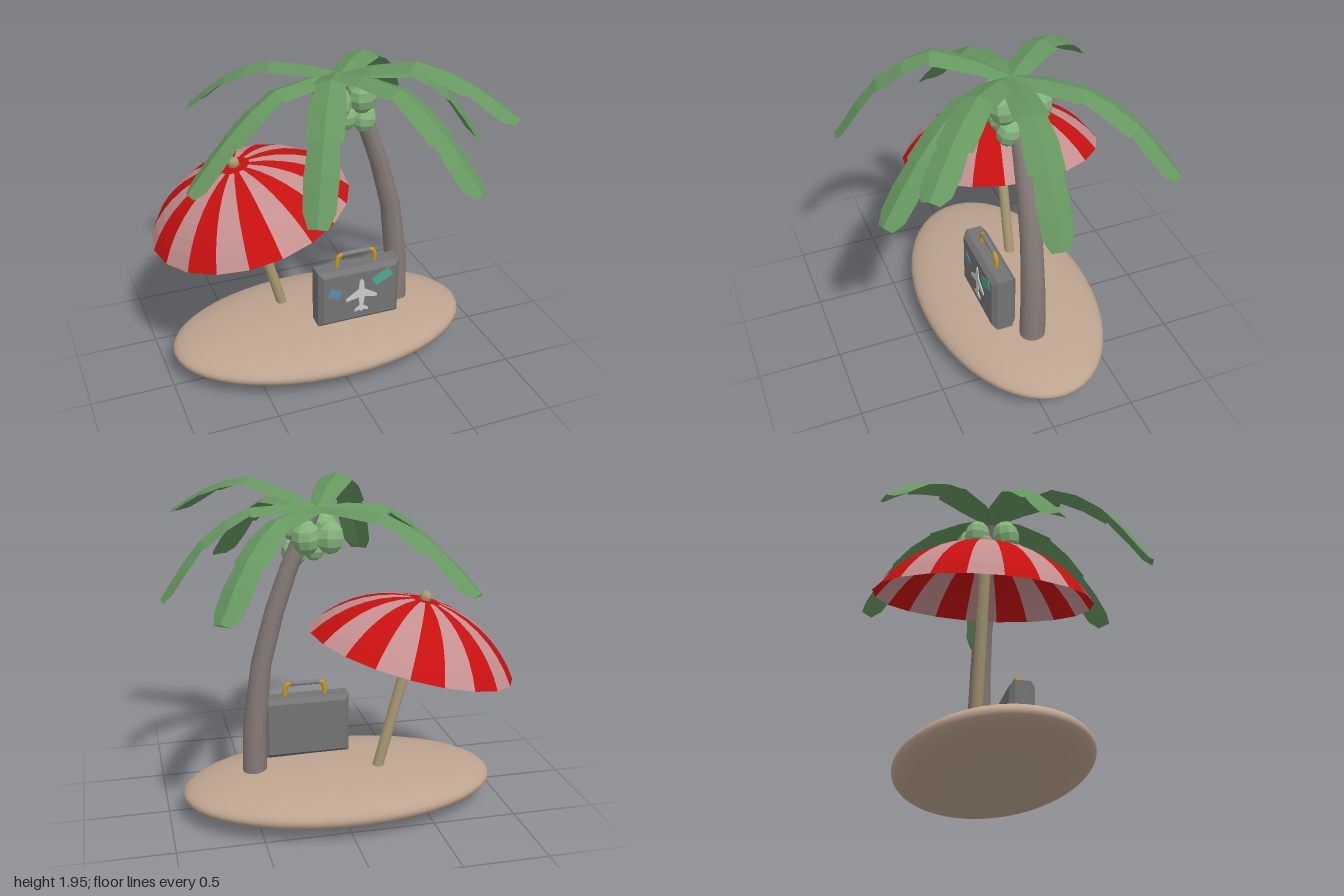
import * as THREE from 'three';

const mat = (color, extra = {}) => new THREE.MeshStandardMaterial({ color, ...extra });
const V = (x, y, z) => new THREE.Vector3(x, y, z);

function add(parent, name, geometry, material, x = 0, y = 0, z = 0) {
  const mesh = new THREE.Mesh(geometry, material);
  mesh.name = name;
  mesh.position.set(x, y, z);
  parent.add(mesh);
  return mesh;
}

function addGroup(parent, name) {
  const g = new THREE.Group();
  g.name = name;
  parent.add(g);
  return g;
}

// Striped canopy, pole and knob, leaning towards -x
function buildUmbrella(root) {
  const g = addGroup(root, 'umbrella');
  g.position.set(-0.415, 0.985, -0.225);
  g.rotation.z = 0.258;
  const red = mat(0xc81010, { flatShading: true, side: THREE.DoubleSide });
  const pink = mat(0xc49090, { flatShading: true, side: THREE.DoubleSide });
  const wood = mat(0xa89a74);
  const R = 0.74, rimAngle = 0.966, capAngle = 0.12, n = 20;
  const arc = (a) => new THREE.Vector2(R * Math.sin(a), R * Math.cos(a) - R * Math.cos(rimAngle));
  const profile = [];
  for (let i = 0; i <= 7; i++) profile.push(arc(rimAngle + (capAngle - rimAngle) * i / 7));
  const step = Math.PI * 2 / n;
  for (let k = 0; k < n; k++) {
    add(g, 'canopyStripe', new THREE.LatheGeometry(profile, 1, k * step, step), k % 2 ? red : pink);
  }
  add(g, 'canopyCentre', new THREE.LatheGeometry([arc(capAngle), arc(0)], n), red);
  add(g, 'pole', new THREE.CylinderGeometry(0.032, 0.032, 1.07, 12), wood, 0, -0.215, 0);
  add(g, 'knob', new THREE.SphereGeometry(0.034, 10, 8), wood, 0, 0.335, 0);
}

// Trunk: a cylinder whose rings follow a bent centre line
function buildTrunk(parent) {
  const path = [[0.487, 0.25, 0.073], [0.483, 0.55, 0.068], [0.435, 0.93, 0.06],
    [0.352, 1.24, 0.055], [0.26, 1.5, 0.051], [0.13, 1.8, 0.045]];
  const last = path.length - 1;
  const geo = new THREE.CylinderGeometry(1, 1, 1, 16, last);
  const p = geo.attributes.position;
  for (let i = 0; i < p.count; i++) {
    const k = Math.round((p.getY(i) + 0.5) * last);
    const [cx, cy, r] = path[k];
    const a = path[Math.max(k - 1, 0)], b = path[Math.min(k + 1, last)];
    const lean = Math.atan2(a[0] - b[0], b[1] - a[1]);
    const x = p.getX(i) * r;
    p.setXYZ(i, cx + x * Math.cos(lean), cy + x * Math.sin(lean), -0.08 + p.getZ(i) * r * 1.08);
  }
  geo.computeVertexNormals();
  add(parent, 'trunk', geo, mat(0x857a76));
}

// Frond: a folded strip with notched edges along a drooping curve
function frondGeometry(points) {
  const curve = new THREE.CatmullRomCurve3(points);
  const stations = [[0, 0.05], [0.15, 0.085], [0.36, 0.1], [0.37, 0.078], [0.52, 0.098],
    [0.68, 0.1], [0.69, 0.08], [0.82, 0.092], [0.94, 0.085], [1, 0.05]];
  const first = points[0], tip = points[points.length - 1];
  const side = V(-(tip.z - first.z), 0, tip.x - first.x).normalize();
  const pos = [], idx = [];
  stations.forEach(([t, w], i) => {
    const c = curve.getPoint(t);
    const up = side.clone().cross(curve.getTangent(t)).normalize();
    if (up.y < 0) up.negate();
    const ridge = c.clone().addScaledVector(up, 0.006);
    const keel = c.clone().addScaledVector(up, -0.012);
    const edge = (s) => c.clone().addScaledVector(side, s * w).addScaledVector(up, -0.32 * w);
    for (const v of [ridge, edge(1), keel, edge(-1)]) pos.push(v.x, v.y, v.z);
    if (i === 0) return;
    for (let j = 0; j < 4; j++) {
      const a = (i - 1) * 4 + j, b = (i - 1) * 4 + (j + 1) % 4;
      idx.push(a, b, a + 4, b, b + 4, a + 4);
    }
  });
  const e = (stations.length - 1) * 4;
  idx.push(e, e + 1, e + 2, e, e + 2, e + 3);
  const geo = new THREE.BufferGeometry();
  geo.setAttribute('position', new THREE.Float32BufferAttribute(pos, 3));
  geo.setIndex(idx);
  geo.computeVertexNormals();
  return geo;
}

function buildPalm(root) {
  const palm = addGroup(root, 'palmTree');
  buildTrunk(palm);
  const leaf = mat(0x669660, { flatShading: true, side: THREE.DoubleSide });
  const crown = V(0.1, 1.82, -0.08);
  // tip x, tip y, tip z, height at 40 %, height at 72 %
  const fronds = [
    [-0.60, 1.47, -0.80, 1.83, 1.70],
    [0.74, 1.40, -0.80, 1.83, 1.68],
    [0.98, 1.32, 0.0, 1.83, 1.66],
    [0.84, 1.71, 0.63, 1.95, 1.87],
    [0.56, 1.39, 0.79, 1.84, 1.66],
    [-0.37, 1.38, 0.80, 1.95, 1.77],
    [-0.85, 1.32, 0.10, 1.81, 1.60],
  ];
  for (const [x, y, z, y1, y2] of fronds) {
    const at = (t, h) => V(crown.x + (x - crown.x) * t, h, crown.z + (z - crown.z) * t);
    add(palm, 'frond', frondGeometry([crown, at(0.4, y1), at(0.72, y2), V(x, y, z)]), leaf);
  }
  const nut = mat(0x86b47c, { flatShading: true });
  const nuts = [[0.05, 1.685, 0.0, 0.085], [0.2, 1.705, 0.0, 0.088], [0.11, 1.58, -0.01, 0.066],
    [0.225, 1.56, -0.02, 0.072], [0.19, 1.68, -0.2, 0.084], [0.05, 1.67, -0.18, 0.08]];
  nuts.forEach(([x, y, z, r], i) => {
    const m = add(palm, 'coconut', new THREE.SphereGeometry(r, 9, 6), nut, x, y, z);
    m.scale.y = 1.18;
    m.rotation.set(0.2 * (i % 3 - 1), i, 0.15);
  });
}

// Bevelled case with handle and flat stickers
function buildSuitcase(root) {
  const g = addGroup(root, 'suitcase');
  g.position.set(0.152, 0.47, 0.067);
  const b = 0.028, w = 0.262 - b, h = 0.187 - b, d = 0.15;
  const rect = new THREE.Shape([[-w, -h], [w, -h], [w, h], [-w, h]].map(([x, y]) => new THREE.Vector2(x, y)));
  const body = new THREE.ExtrudeGeometry(rect, {
    depth: d - 2 * b, bevelEnabled: true, bevelThickness: b, bevelSize: b, bevelSegments: 1 });
  body.translate(0, 0, b - d / 2);
  add(g, 'caseBody', body, mat(0x747474, { flatShading: true }));

  const gold = mat(0xc9981c), grey = mat(0x808080);
  for (const s of [-1, 1]) {
    const bend = new THREE.CatmullRomCurve3([V(s * 0.122, 0.18, 0), V(s * 0.12, 0.23, 0),
      V(s * 0.108, 0.256, 0), V(s * 0.075, 0.262, 0)]);
    add(g, 'handleBracket', new THREE.TubeGeometry(bend, 10, 0.014, 8), gold);
  }
  add(g, 'handleGrip', new THREE.CylinderGeometry(0.015, 0.015, 0.18, 8).rotateZ(Math.PI / 2), grey, 0, 0.262, 0);

  const front = d / 2 + 0.002;
  const sticker = (color, sw, sh, x, y, a) => {
    add(g, 'sticker', new THREE.BoxGeometry(sw, sh, 0.004), mat(color), x, y, front).rotation.z = a;
  };
  sticker(0x4fa893, 0.125, 0.06, 0.145, 0.1, 0.5);
  sticker(0x5c8ba6, 0.08, 0.06, -0.165, 0.04, -0.4);

  // aeroplane sticker: one half outline, mirrored
  const half = [[0, 0.115], [0.014, 0.095], [0.019, 0.04], [0.1, -0.012], [0.1, -0.03],
    [0.019, -0.015], [0.012, -0.075], [0.045, -0.1], [0.045, -0.113], [0.008, -0.105], [0, -0.125]];
  const outline = [...half, ...half.slice(1, -1).reverse().map(([x, y]) => [-x, y])];
  const plane = new THREE.Shape(outline.map(([x, y]) => new THREE.Vector2(x, y)));
  add(g, 'planeSticker', new THREE.ExtrudeGeometry(plane, { depth: 0.006, bevelEnabled: false }),
    mat(0xc4c4c4), 0.008, 0.0, front - 0.002);
}

export function createModel() {
  const root = new THREE.Group();
  root.name = 'beachIsland';
  const sand = add(root, 'sand', new THREE.SphereGeometry(1, 48, 24), mat(0xbda48f), -0.022, 0.15, -0.1);
  sand.scale.set(0.94, 0.145, 0.543);
  buildUmbrella(root);
  buildPalm(root);
  buildSuitcase(root);
  return root;
}
